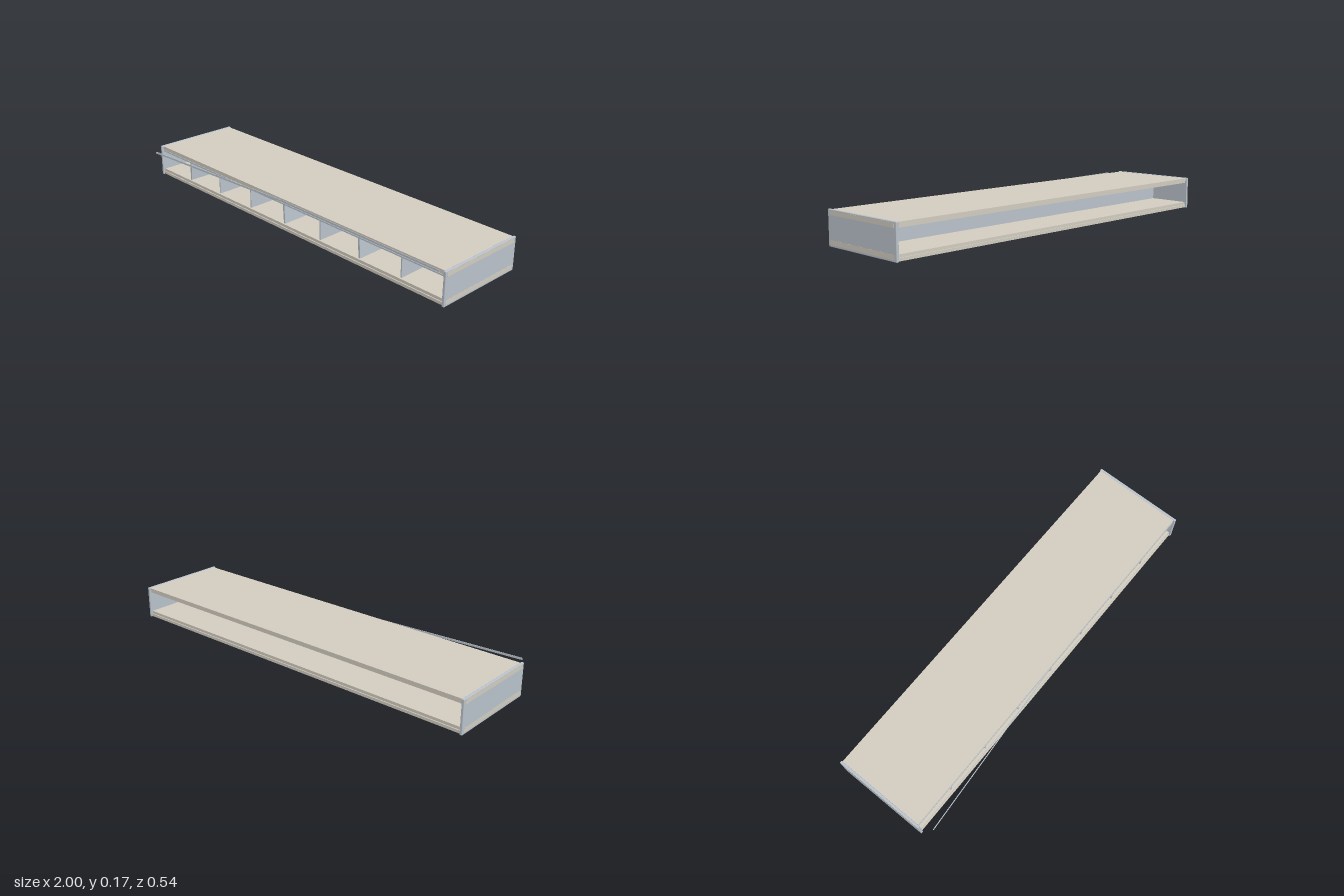
import * as THREE from 'three';
import { RoundedBoxGeometry } from 'three/addons/geometries/RoundedBoxGeometry.js';

function material(name, color) {
  const m = new THREE.MeshStandardMaterial({ color });
  m.name = name;
  return m;
}

export function createModel() {
  const root = new THREE.Group();
  const beige = material('beige', 0xd2ccbf);
  const blueGrey = material('blue grey', 0xb9c2cb);

  function add(name, geometry, mat, x, y, z) {
    const mesh = new THREE.Mesh(geometry, mat);
    mesh.name = name;
    mesh.position.set(x, y, z);
    root.add(mesh);
    return mesh;
  }
  // box given by its low and high corners
  function box(name, mat, [x0, y0, z0], [x1, y1, z1]) {
    return add(name, new THREE.BoxGeometry(x1 - x0, y1 - y0, z1 - z0), mat,
      (x0 + x1) / 2, (y0 + y1) / 2, (z0 + z1) / 2);
  }

  // floor and roof: a slab with a slightly projecting outer sheet
  box('floorSlab', beige, [-0.99, 0.017, -0.256], [0.99, 0.031, 0.199]);
  box('floorSheet', beige, [-0.99, 0.003, -0.261], [0.99, 0.017, 0.204]);
  box('roofSlab', beige, [-0.99, 0.138, -0.256], [0.99, 0.15, 0.199]);
  box('roofSheet', beige, [-0.99, 0.15, -0.261], [0.99, 0.163, 0.201]);

  // end walls, with the slab ends showing as flat strips
  for (const side of [-1, 1]) {
    add('endWall', new RoundedBoxGeometry(0.013, 0.165, 0.478, 2, 0.003), blueGrey,
      side * 0.993, 0.0825, -0.028);
    for (const y of [0.02, 0.15]) {
      add('endStrip', new THREE.BoxGeometry(0.001, 0.021, 0.452), beige, side * 0.9995, y, -0.027);
    }
  }

  // lengthwise wall behind the bays, with a round disc in each bay
  const wallZ = -0.035;
  box('bayWall', blueGrey, [-0.989, 0.031, wallZ - 0.008], [0.989, 0.138, wallZ]);
  const disc = new THREE.CylinderGeometry(0.029, 0.029, 0.005, 32).rotateX(Math.PI / 2);
  for (let i = 0; i < 8; i++) {
    add('bayDisc', disc, beige, -0.875 + i * 0.25, 0.085, wallZ + 0.002);
  }
  add('discPin', new THREE.SphereGeometry(0.003, 10, 8), blueGrey, -0.85, 0.095, wallZ + 0.004);

  // seven dividers, three of them thicker and leaning a little
  const lean = { 0: -0.06, 3: 0.06, 5: 0.06 };
  for (let i = 0; i < 7; i++) {
    const half = lean[i] ? 0.005 : 0.003;
    const divider = box('divider', blueGrey, [-half, 0.031, wallZ], [half, 0.137, 0.19]);
    divider.position.x = -0.753 + i * 0.25;
    divider.rotation.z = lean[i] || 0;
  }

  // slim rail along the front opening, and a closed strip on the left half
  box('frontRail', blueGrey, [-0.985, 0.135, 0.194], [0.985, 0.142, 0.202]);
  box('closedStrip', blueGrey, [0, 0.145, 0.199], [0.96, 0.155, 0.203]);

  // long strip hinged at the middle and swung outward
  const hinge = new THREE.Group();
  hinge.name = 'openStrip';
  hinge.position.set(-0.01, 0.15, 0.202);
  hinge.rotation.y = Math.atan2(0.065, 0.95);
  const strip = new THREE.Mesh(new THREE.BoxGeometry(0.952, 0.01, 0.003), blueGrey);
  strip.name = 'swungStrip';
  strip.position.x = -0.476;
  hinge.add(strip);
  root.add(hinge);

  return root;
}
